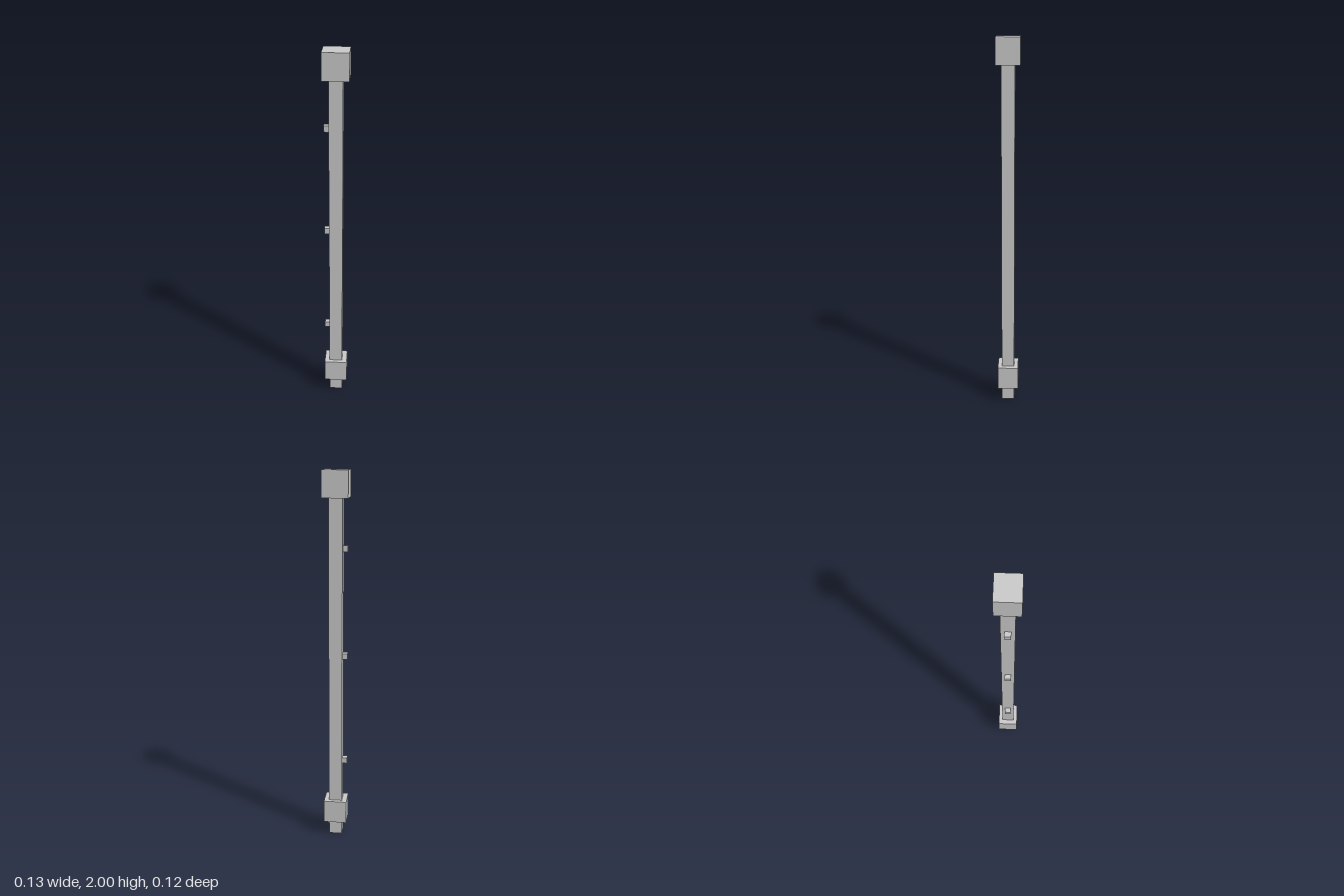
import * as THREE from 'three';

export function createModel() {
  const group = new THREE.Group();
  const material = new THREE.MeshStandardMaterial({ color: 0xcccccc, flatShading: true });

  // Box given by width, depth and its bottom and top heights
  function addBlock(name, width, depth, bottom, top, x = 0) {
    const mesh = new THREE.Mesh(new THREE.BoxGeometry(width, top - bottom, depth), material);
    mesh.name = name;
    mesh.position.set(x, (bottom + top) / 2, 0);
    group.add(mesh);
  }

  // Square post, its foot showing below the lower collar
  addBlock('post', 0.071, 0.069, 0, 1.88);
  addBlock('baseCollar', 0.125, 0.112, 0.08, 0.207);
  addBlock('topCap', 0.134, 0.123, 1.864, 2);

  // Three small pegs up the right side
  [0.442, 1.04, 1.61].forEach((y, i) => {
    addBlock(`peg${i + 1}`, 0.027, 0.032, y - 0.016, y + 0.016, -0.0485);
  });

  return group;
}
